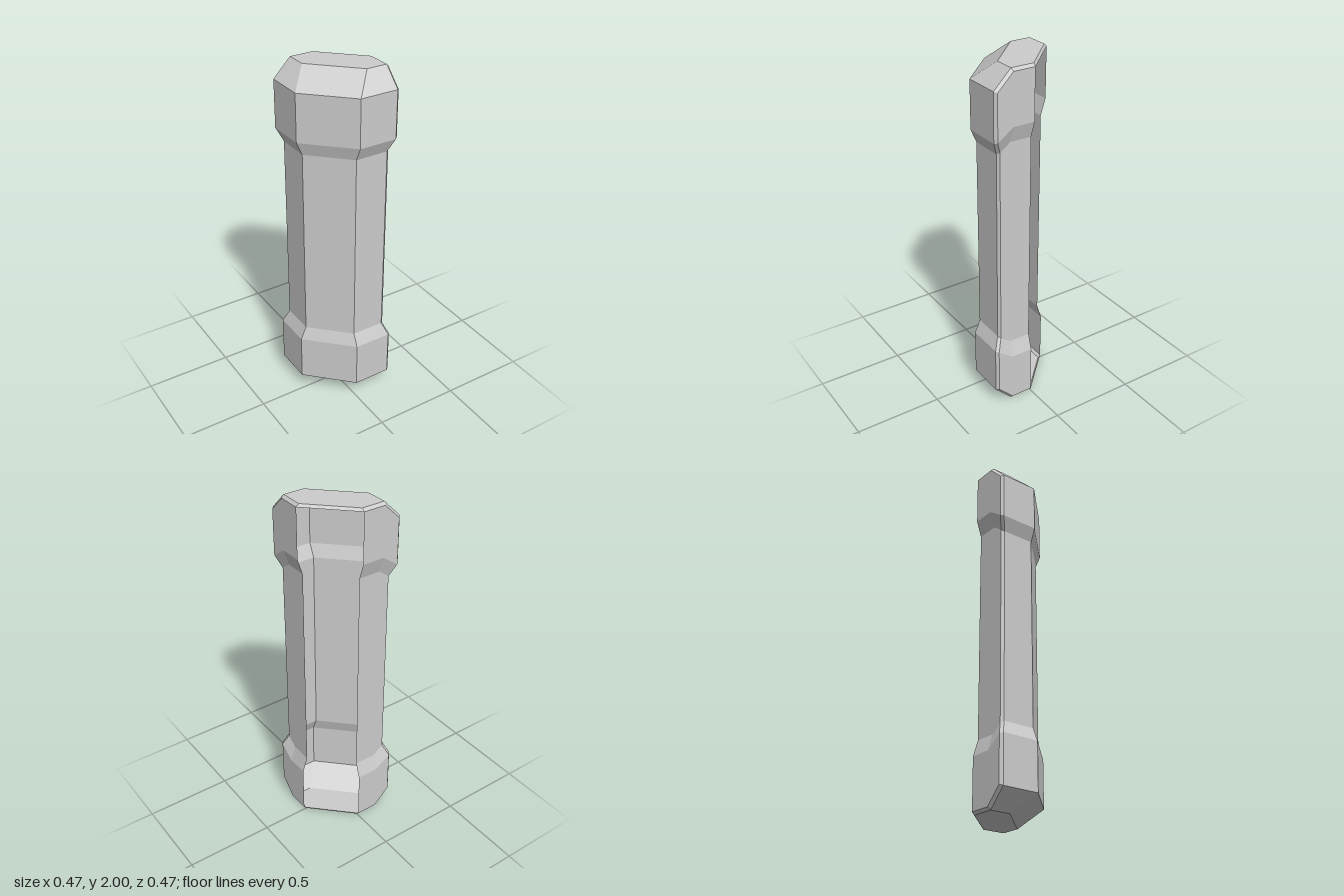
import * as THREE from 'three';

// Lower-half rows, bottom to top: wall height, wall radius, chamfer inset,
// cap offset, cap rim height, cap rim width, cap field height
const ROWS = [
  { y: 0, r: 0.233, d: 0.1, cap: 0.233, rimY: 0.015, rimZ: 0.127, midY: 0.015 },
  { y: 0.1, r: 0.233, d: 0, cap: 0.233, rimY: 0.106, rimZ: 0.219, midY: 0.106 },
  { y: 0.37, r: 0.233, d: 0, cap: 0.233, rimY: 0.365, rimZ: 0.219, midY: 0.3 },
  { y: 0.445, r: 0.2, d: 0, cap: 0.204, rimY: 0.435, rimZ: 0.188, midY: 0.39 },
];
const BEVEL = 0.015;

// The section is symmetric about the diagonal plane x = -z
const mirror = ([x, y, z]) => [-z, y, -x];
const flipY = ([x, y, z]) => [x, 2 - y, z];

// Half a cross-section: opening edge, cap field, cap rim, wall end, corner
function halfRow({ y, r, d, cap, rimY, rimZ, midY }) {
  return [
    [cap, midY, 0],
    [cap, midY, 0.127],
    [cap, rimY, rimZ],
    [cap - BEVEL, y, r - d],
    [d, y, r - d],
  ];
}

function makeMesh(name, faces, material) {
  const positions = [];
  for (const f of faces) {
    for (let i = 1; i < f.length - 1; i++) {
      const tri = [f[0], f[i], f[i + 1]].map((p) => new THREE.Vector3(...p));
      const area = new THREE.Triangle(...tri).getArea();
      if (area > 1e-8) tri.forEach((v) => positions.push(v.x, v.y, v.z));
    }
  }
  const geometry = new THREE.BufferGeometry();
  geometry.setAttribute('position', new THREE.Float32BufferAttribute(positions, 3));
  geometry.computeVertexNormals();
  const mesh = new THREE.Mesh(geometry, material);
  mesh.name = name;
  return mesh;
}

export function createModel() {
  const group = new THREE.Group();
  group.name = 'cornerPillar';
  const material = new THREE.MeshStandardMaterial({
    color: 0xcccccc, flatShading: true, side: THREE.DoubleSide,
  });

  // Hollow shell, open along the rear diagonal
  const lower = ROWS.map((row) => {
    const half = halfRow(row);
    return [...half, ...half.map(mirror).reverse()];
  });
  const rows = [...lower, ...lower.map((row) => row.map(flipY)).reverse()];
  const shell = [];
  for (let r = 0; r < rows.length - 1; r++) {
    for (let c = 0; c < rows[r].length - 1; c++) {
      shell.push([rows[r][c + 1], rows[r][c], rows[r + 1][c], rows[r + 1][c + 1]]);
    }
  }
  group.add(makeMesh('shell', shell, material));

  // End plates with bevelled edges towards the caps and the opening
  const [edge, , rim, wallEnd, corner] = halfRow(ROWS[0]).map(flipY);
  const inner = [0.233 - BEVEL, 2, 0];
  const sideBevel = [inner, wallEnd, rim, edge];
  const top = [
    [mirror(inner), mirror(wallEnd), mirror(corner), corner, wallEnd, inner],
    sideBevel,
    sideBevel.map(mirror).reverse(),
    [mirror(inner), inner, edge, mirror(edge)],
  ];
  const bottom = top.map((face) => face.map(flipY).reverse());
  group.add(makeMesh('topPlate', top, material));
  group.add(makeMesh('bottomPlate', bottom, material));

  return group;
}
